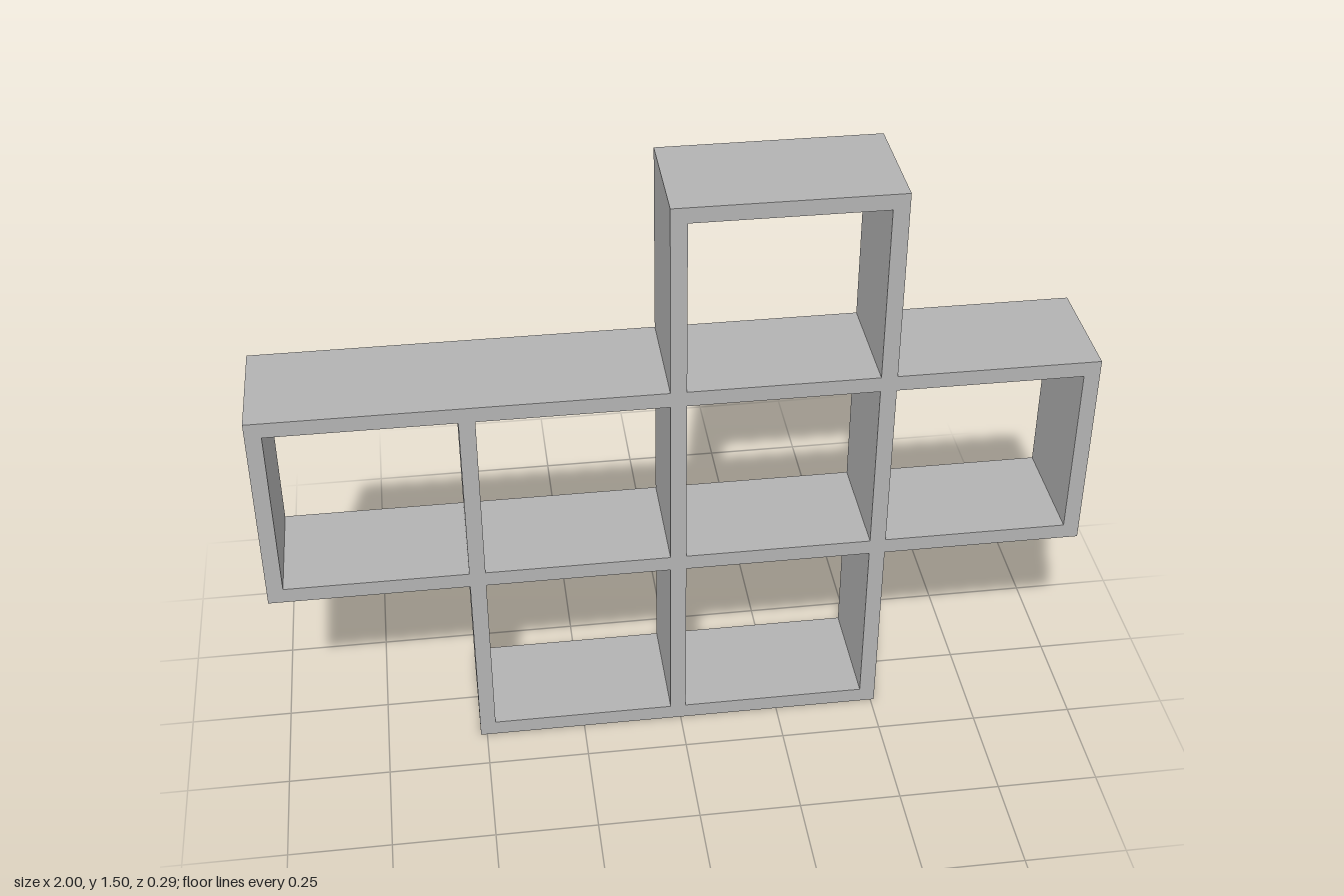
import * as THREE from 'three';

const THICK = 0.039;
const DEPTH = 0.29;

export function createModel() {
  const group = new THREE.Group();
  group.name = 'cubeShelf';
  const greyBoard = new THREE.MeshStandardMaterial({ color: 0xb3b3b3 });
  greyBoard.name = 'greyBoard';

  // A board filling the rectangle x0..x1, y0..y1 at full depth
  const addBoard = (name, x0, x1, y0, y1) => {
    const board = new THREE.Mesh(new THREE.BoxGeometry(x1 - x0, y1 - y0, DEPTH), greyBoard);
    board.name = name;
    board.position.set((x0 + x1) / 2, (y0 + y1) / 2, 0);
    group.add(board);
  };

  // Undersides of the four horizontal levels
  const levels = [0, 0.49, 0.973, 1.456];

  // Horizontal boards: name, left edge, right edge
  [
    ['bottomBoard', -0.516, 0.509],
    ['lowerShelf', -1, 1],
    ['upperShelf', -1, 1],
    ['topBoard', -0.026, 0.509],
  ].forEach(([name, x0, x1], i) => addBoard(name, x0, x1, levels[i], levels[i] + THICK));

  // Upright centres for each row, fitted between the boards
  const end = 1 - THICK / 2;
  const [a, b, c] = [-0.4965, -0.0065, 0.4895];
  const rows = [
    ['lowerUpright', [a, b, c]],
    ['middleUpright', [-end, a, b, c, end]],
    ['upperUpright', [b, c]],
  ];
  rows.forEach(([name, centres], i) => {
    centres.forEach((x, n) =>
      addBoard(name + (n + 1), x - THICK / 2, x + THICK / 2, levels[i] + THICK, levels[i + 1]));
  });

  return group;
}
